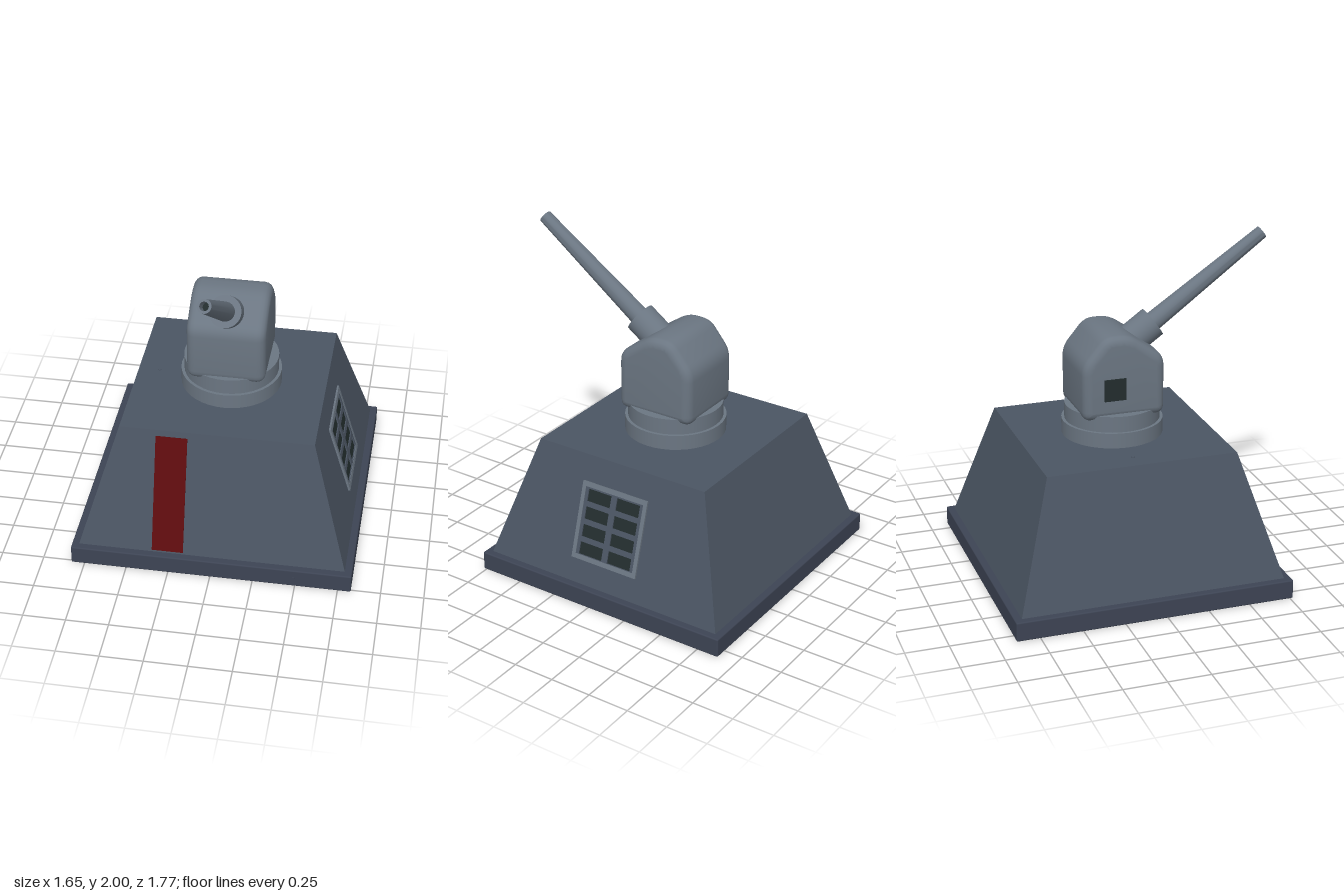
import * as THREE from 'three';
import { toCreasedNormals } from 'three/addons/utils/BufferGeometryUtils.js';
import { RoundedBoxGeometry } from 'three/addons/geometries/RoundedBoxGeometry.js';

const paint = (name, color) => {
  const m = new THREE.MeshStandardMaterial({ color });
  m.name = name;
  return m;
};

// Polygon outline with every corner softened by a short curve
function roundedOutline(corners, r) {
  const pts = corners.map(([x, y]) => new THREE.Vector2(x, y));
  const shape = new THREE.Shape();
  pts.forEach((p, i) => {
    const toward = (q) => p.clone().add(q.clone().sub(p).setLength(r));
    const a = toward(pts[(i + pts.length - 1) % pts.length]);
    const b = toward(pts[(i + 1) % pts.length]);
    if (i === 0) shape.moveTo(a.x, a.y);
    else shape.lineTo(a.x, a.y);
    shape.quadraticCurveTo(p.x, p.y, b.x, b.y);
  });
  shape.closePath();
  return shape;
}

function rectPath(path, x, y, w, h) {
  path.moveTo(x - w / 2, y - h / 2);
  path.lineTo(x + w / 2, y - h / 2);
  path.lineTo(x + w / 2, y + h / 2);
  path.lineTo(x - w / 2, y + h / 2);
  path.closePath();
  return path;
}

export function createModel() {
  const model = new THREE.Group();
  const bodyMat = paint('slate', 0x4b5563);
  const baseMat = paint('darkSlate', 0x3d4454);
  const gunMat = paint('steelGrey', 0x6b7682);
  const redMat = paint('darkRed', 0x5e0c0e);
  const darkMat = paint('nearBlack', 0x232d2e);

  const add = (name, geometry, material, parent = model) => {
    const mesh = new THREE.Mesh(geometry, material);
    mesh.name = name;
    parent.add(mesh);
    return mesh;
  };

  const CZ = -0.06; // centre of the bunker in z
  const Y0 = 0.115, Y1 = 0.845, R0 = 0.785, R1 = 0.565;
  const slope = Math.atan((R0 - R1) / (Y1 - Y0));

  // Base slab
  add('baseSlab', new RoundedBoxGeometry(1.655, Y0, 1.655, 2, 0.008), baseMat)
    .position.set(0, Y0 / 2, CZ);

  // Tapered bunker body
  const bodyGeo = new THREE.BoxGeometry(2 * R0, Y1 - Y0, 2 * R0);
  const p = bodyGeo.attributes.position;
  for (let i = 0; i < p.count; i++) {
    if (p.getY(i) > 0) p.setXYZ(i, p.getX(i) * R1 / R0, p.getY(i), p.getZ(i) * R1 / R0);
  }
  bodyGeo.computeVertexNormals();
  add('bunkerBody', bodyGeo, bodyMat).position.set(0, (Y0 + Y1) / 2, CZ);

  // Group lying on a sloping wall: local x runs along it, local z points out
  function onWall(name, yaw, u, y) {
    const g = new THREE.Group();
    g.name = name;
    g.rotation.order = 'YXZ';
    g.rotation.set(-slope, yaw, 0);
    g.position.set(u, y, R0 - (y - Y0) * Math.tan(slope));
    g.position.applyAxisAngle(new THREE.Vector3(0, 1, 0), yaw);
    g.position.z += CZ;
    model.add(g);
    return g;
  }

  // Red stripe on the front wall
  const stripe = onWall('redStripe', 0, -0.258, 0.4675);
  add('stripePlate', new THREE.BoxGeometry(0.185, 0.685 / Math.cos(slope), 0.006), redMat, stripe);

  // Vent on the left wall: dark backing, grille with eight slots, outer rim
  const vent = onWall('vent', Math.PI / 2, 0, 0.475);
  add('ventBacking', new THREE.BoxGeometry(0.4, 0.41, 0.004), darkMat, vent);
  const grille = rectPath(new THREE.Shape(), 0, 0, 0.4, 0.41);
  for (const x of [-0.099, 0.098]) {
    for (let row = 0; row < 4; row++) {
      grille.holes.push(rectPath(new THREE.Path(), x, (row - 1.5) * 0.106 - 0.004, 0.158, 0.075));
    }
  }
  add('ventGrille', new THREE.ExtrudeGeometry(grille, { depth: 0.009, bevelEnabled: false }), bodyMat, vent);
  const rim = rectPath(new THREE.Shape(), 0, 0, 0.445, 0.462);
  rim.holes.push(rectPath(new THREE.Path(), 0, 0, 0.396, 0.406));
  add('ventRim', new THREE.ExtrudeGeometry(rim, { depth: 0.012, bevelEnabled: false }), gunMat, vent);

  // Small studs on the slab front and the roof
  const studGeo = new THREE.CylinderGeometry(0.012, 0.012, 0.008, 12);
  const slabStud = add('slabStud', studGeo, baseMat);
  slabStud.rotation.x = Math.PI / 2;
  slabStud.position.set(0.49, 0.06, CZ + 0.8275);
  add('roofStud', studGeo, bodyMat).position.set(-0.44, Y1, -0.08);

  // Two-step turntable
  add('turntableLower', new THREE.CylinderGeometry(0.298, 0.298, 0.095, 40), gunMat)
    .position.set(0, 0.8875, CZ);
  add('turntableUpper', new THREE.CylinderGeometry(0.28, 0.28, 0.1, 40), gunMat)
    .position.set(0, 0.98, CZ);

  // Turret housing: side outline (z, y) extruded across x with rounded edges
  const outline = roundedOutline([
    [0.19, 0.995], [0.19, 1.345], [-0.02, 1.49],
    [-0.165, 1.49], [-0.302, 1.325], [-0.302, 0.995],
  ], 0.055);
  const bevel = 0.05, width = 0.46;
  const housingGeo = new THREE.ExtrudeGeometry(outline, {
    depth: width - 2 * bevel, curveSegments: 5,
    bevelSize: bevel, bevelThickness: bevel, bevelOffset: -bevel, bevelSegments: 4,
  });
  housingGeo.translate(0, 0, bevel - width / 2);
  housingGeo.rotateY(-Math.PI / 2);
  add('turretHousing', toCreasedNormals(housingGeo, 0.6), gunMat);

  // Dark sight window on the right side of the turret
  add('sightWindow', new THREE.BoxGeometry(0.016, 0.13, 0.13), darkMat)
    .position.set(-0.231, 1.18, -0.115);

  // Gun, built along local y and tilted forward
  const gun = new THREE.Group();
  gun.name = 'gun';
  gun.position.set(0, 1.487, 0.19);
  gun.rotation.x = Math.PI / 2 - Math.atan2(0.479, 0.672);
  model.add(gun);
  add('collar', new THREE.CylinderGeometry(0.094, 0.094, 0.22, 32), gunMat, gun).position.y = -0.11;
  const barrel = [[0.058, -0.05], [0.039, 0.825], [0.025, 0.825], [0.025, 0.7]]
    .map(([r, y]) => new THREE.Vector2(r, y));
  add('barrel', toCreasedNormals(new THREE.LatheGeometry(barrel, 28), 0.6), gunMat, gun);
  const bore = add('boreEnd', new THREE.CircleGeometry(0.025, 28), darkMat, gun);
  bore.rotation.x = -Math.PI / 2;
  bore.position.y = 0.701;

  return model;
}
